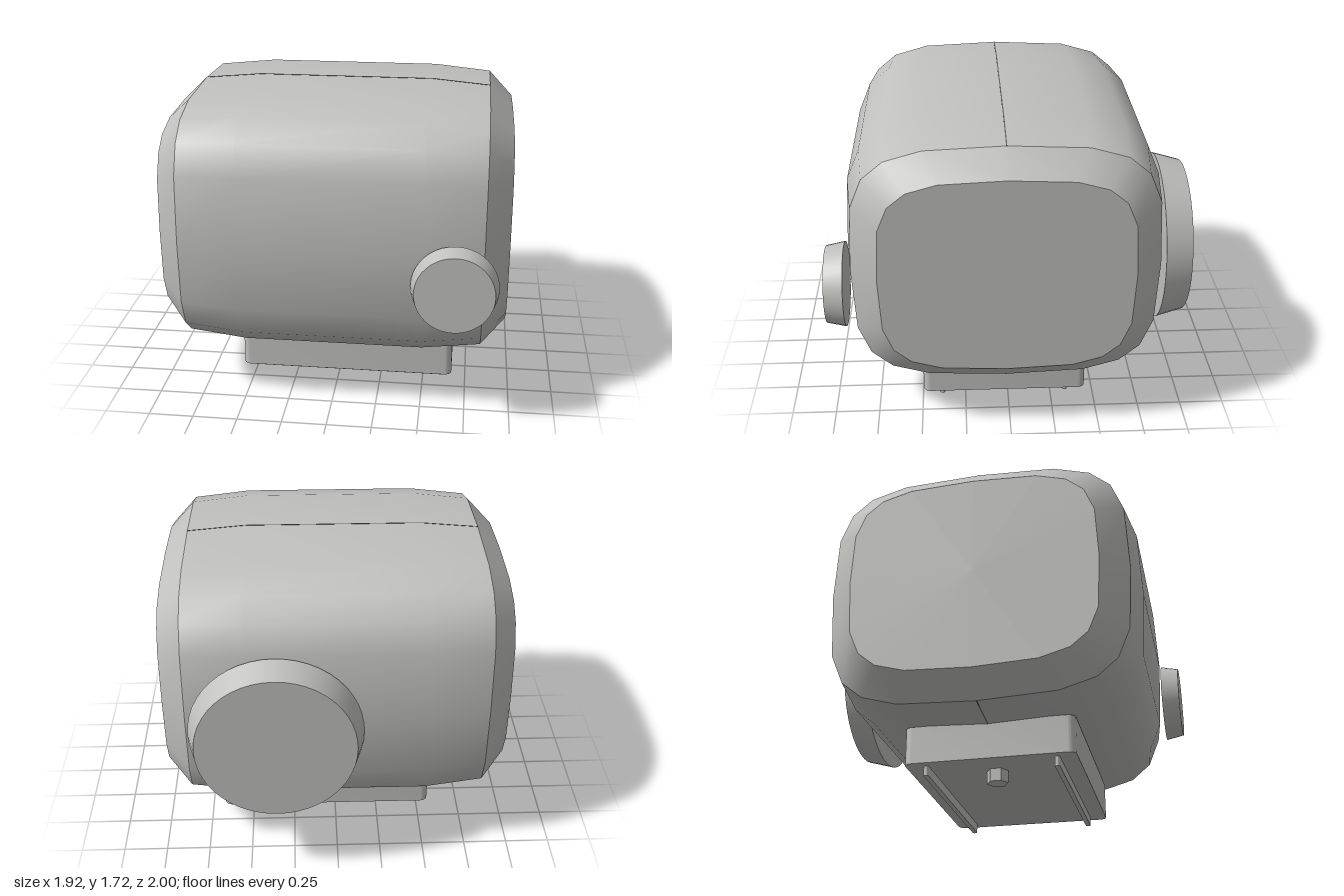
import * as THREE from 'three';
import { toCreasedNormals } from 'three/addons/utils/BufferGeometryUtils.js';

const CY = 0.99, CZ = 0.02; // centre of the body's cross-section

// lengthwise stations: x, scale in z, scale in y
const STATIONS = [
  [-0.96, 0.787, 0.78], [-0.825, 0.957, 0.96], [-0.5, 1, 1],
  [0.5, 1, 1], [0.825, 0.957, 0.96], [0.96, 0.787, 0.78],
];

// one quarter of the rounded cross-section: z, y
const QUARTER = [[0.87, 0], [0.85, 0.38], [0.78, 0.55], [0.66, 0.65], [0.45, 0.71], [0, 0.73]];

function bodyGeometry() {
  const half = [...QUARTER, ...QUARTER.slice(0, 5).reverse().map(([z, y]) => [-z, y])];
  const ring = [...half, ...half.slice(1, -1).reverse().map(([z, y]) => [z, -y])];
  const n = ring.length, pos = [], idx = [];
  for (const [x, sz, sy] of STATIONS)
    for (const [z, y] of ring) pos.push(x, CY + y * sy, CZ + z * sz);
  const last = STATIONS.length - 1;
  for (let i = 0; i < last; i++) {
    for (let j = 0; j < n; j++) {
      const k = (j + 1) % n, a = i * n + j, b = a + n, c = (i + 1) * n + k, d = i * n + k;
      idx.push(a, b, c, a, c, d);
    }
  }
  // flat end caps
  const left = pos.length / 3, right = left + 1;
  pos.push(STATIONS[0][0], CY, CZ, STATIONS[last][0], CY, CZ);
  for (let j = 0; j < n; j++) {
    const k = (j + 1) % n;
    idx.push(left, j, k, right, last * n + k, last * n + j);
  }
  const g = new THREE.BufferGeometry();
  g.setAttribute('position', new THREE.Float32BufferAttribute(pos, 3));
  g.setIndex(idx);
  return toCreasedNormals(g, 0.65);
}

// block with corners rounded in plan
function plate(x0, x1, z0, z1, y0, y1, r) {
  const s = new THREE.Shape();
  s.moveTo(x0 + r, -z1);
  s.lineTo(x1 - r, -z1);
  s.absarc(x1 - r, -z1 + r, r, -Math.PI / 2, 0);
  s.absarc(x1 - r, -z0 - r, r, 0, Math.PI / 2);
  s.absarc(x0 + r, -z0 - r, r, Math.PI / 2, Math.PI);
  s.absarc(x0 + r, -z1 + r, r, Math.PI, Math.PI * 1.5);
  const g = new THREE.ExtrudeGeometry(s, { depth: y1 - y0, bevelEnabled: false, curveSegments: 6 });
  g.rotateX(-Math.PI / 2);
  g.translate(0, y0, 0);
  return toCreasedNormals(g, 0.6);
}

export function createModel() {
  const model = new THREE.Group();
  const grey = new THREE.MeshStandardMaterial({ color: 0xc0c0be });
  grey.name = 'light grey';
  const dark = new THREE.MeshStandardMaterial({ color: 0x606060 });
  dark.name = 'seam grey';

  const add = (name, geometry, material = grey) => {
    const mesh = new THREE.Mesh(geometry, material);
    mesh.name = name;
    model.add(mesh);
    return mesh;
  };

  add('body', bodyGeometry());

  // thin seam following the body's top and bottom
  const seam = new THREE.Group();
  seam.name = 'seam';
  model.add(seam);
  for (const side of [1, -1]) {
    for (let i = 1; i < 4; i++) {
      const [xa, , sa] = STATIONS[i], [xb, , sb] = STATIONS[i + 1];
      const ya = CY + side * 0.73 * sa, yb = CY + side * 0.73 * sb;
      const strip = new THREE.Mesh(
        new THREE.BoxGeometry(Math.hypot(xb - xa, yb - ya), 0.003, 0.006), dark);
      strip.position.set((xa + xb) / 2, (ya + yb) / 2, CZ);
      strip.rotation.z = Math.atan2(yb - ya, xb - xa);
      strip.name = 'seamStrip';
      seam.add(strip);
    }
  }

  // tapered round caps, small in front and large behind
  const small = add('frontCap', new THREE.CylinderGeometry(0.213, 0.235, 0.105, 40));
  small.rotation.x = Math.PI / 2;
  small.position.set(0.675, 0.817, 0.9475);
  const large = add('rearCap', new THREE.CylinderGeometry(0.435, 0.477, 0.153, 48));
  large.rotation.x = -Math.PI / 2;
  large.position.set(0.335, 0.9, -0.9235);

  // mounting base with two rails and a hexagonal bolt
  add('base', plate(-0.56, 0.67, -0.447, 0.493, 0.07, 0.28, 0.04));
  for (const z of [0.385, -0.335])
    add('rail', plate(-0.51, 0.615, z - 0.014, z + 0.014, 0.016, 0.08, 0.01));
  const bolt = add('bolt', new THREE.CylinderGeometry(0.06, 0.06, 0.08, 6).toNonIndexed());
  bolt.geometry.computeVertexNormals();
  bolt.position.set(-0.34, 0.04, 0.025);

  return model;
}
